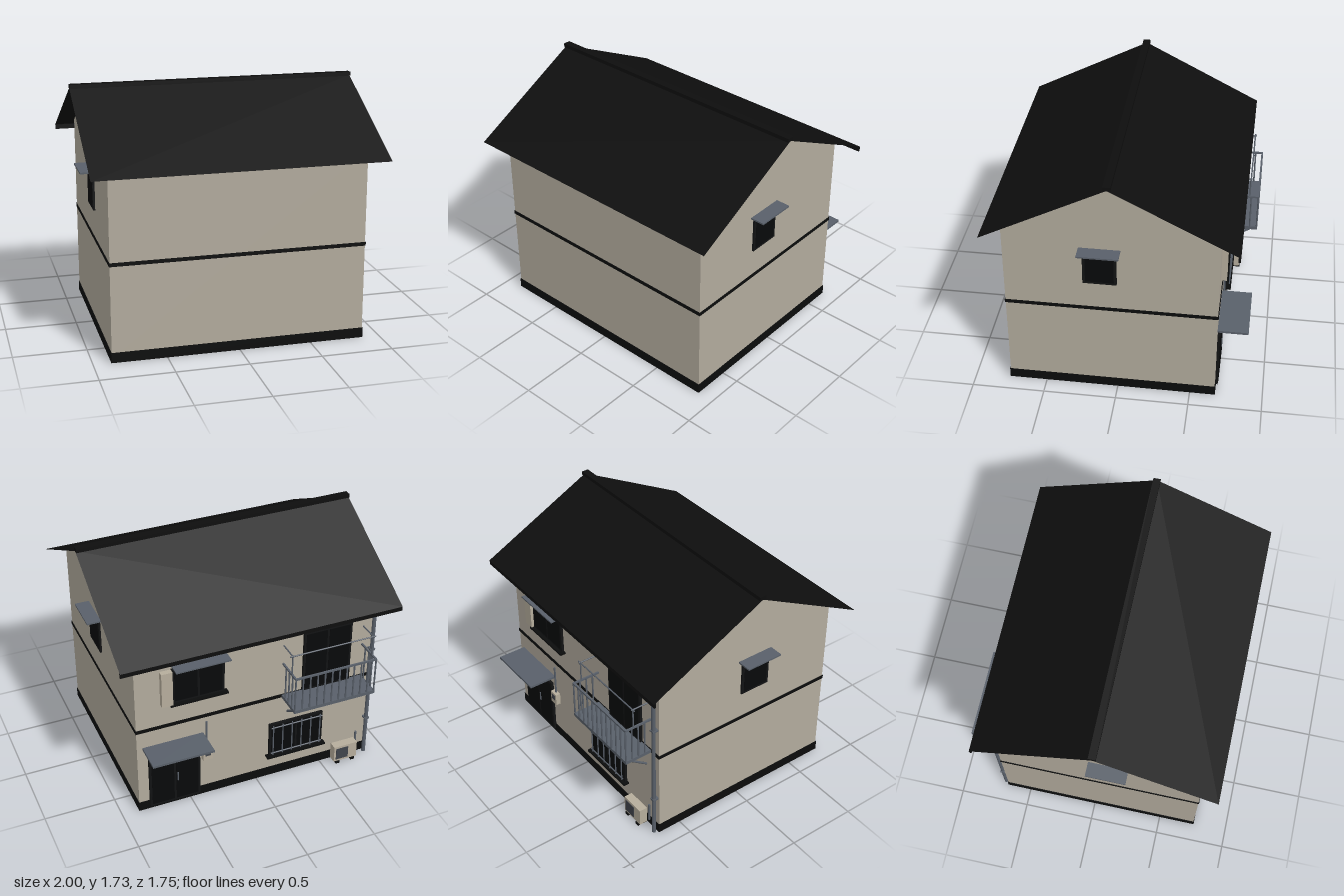
import * as THREE from 'three';

const mat = (name, color, extra = {}) => {
  const m = new THREE.MeshStandardMaterial({ color, ...extra });
  m.name = name;
  return m;
};

export function createModel() {
  const house = new THREE.Group();
  house.name = 'house';
  const wall = mat('plaster', 0xb2ab9d);
  const roofBlack = mat('roofBlack', 0x0e0e0e, { side: THREE.DoubleSide });
  const trim = mat('darkTrim', 0x0b0c0c);
  const frame = mat('windowFrame', 0x121314);
  const glass = mat('darkGlass', 0x08090a);
  const metal = mat('greyMetal', 0x59606a);
  const pale = mat('paleCasing', 0xb6ad9c);
  const fanGrey = mat('fanGrey', 0x40444b);

  const group = (name) => {
    const g = new THREE.Group();
    g.name = name;
    house.add(g);
    return g;
  };
  // Box given by its two extents on every axis
  const box = (name, m, [x0, x1], [y0, y1], [z0, z1], parent = house) => {
    const mesh = new THREE.Mesh(
      new THREE.BoxGeometry(Math.abs(x1 - x0), Math.abs(y1 - y0), Math.abs(z1 - z0)), m);
    mesh.position.set((x0 + x1) / 2, (y0 + y1) / 2, (z0 + z1) / 2);
    mesh.name = name;
    parent.add(mesh);
    return mesh;
  };
  // Straight round bar between two points
  const bar = (name, m, a, b, r, parent = house) => {
    const p = new THREE.Vector3(...a), q = new THREE.Vector3(...b);
    const mesh = new THREE.Mesh(new THREE.CylinderGeometry(r, r, p.distanceTo(q), 8), m);
    mesh.position.copy(p).add(q).multiplyScalar(0.5);
    mesh.quaternion.setFromUnitVectors(new THREE.Vector3(0, 1, 0), q.sub(p).normalize());
    mesh.name = name;
    parent.add(mesh);
    return mesh;
  };

  const W = 0.875, ZF = 0.755, ZB = -0.67, ZR = 0.04;

  // Walls with gables
  const profile = new THREE.Shape([[-ZF, 0.03], [-ZB, 0.03], [-ZB, 1.335], [-ZR, 1.7], [-ZF, 1.335]]
    .map(([x, y]) => new THREE.Vector2(x, y)));
  const wallGeo = new THREE.ExtrudeGeometry(profile, { depth: 2 * W, bevelEnabled: false });
  wallGeo.rotateY(Math.PI / 2).translate(-W, 0, 0);
  const walls = new THREE.Mesh(wallGeo, wall);
  walls.name = 'walls';
  house.add(walls);
  box('foundation', trim, [-W - 0.004, W + 0.004], [0, 0.07], [ZB - 0.005, ZF + 0.005]);
  box('floorBand', trim, [-W - 0.004, W + 0.004], [0.667, 0.692], [ZB - 0.005, ZF + 0.005]);

  // Thin sheet roof, ridge cap and rear gutter
  [['frontRoof', 0.875], ['backRoof', -0.8]].forEach(([name, z]) => {
    const e = 1.275, r = 1.706;
    const geo = new THREE.BufferGeometry();
    geo.setAttribute('position', new THREE.Float32BufferAttribute(
      [-1, e, z, 1, e, z, 1, r, ZR, -1, r, ZR], 3));
    geo.setIndex(z > 0 ? [0, 1, 2, 0, 2, 3] : [0, 2, 1, 0, 3, 2]);
    geo.computeVertexNormals();
    const sheet = new THREE.Mesh(geo, roofBlack);
    sheet.name = name;
    house.add(sheet);
  });
  box('ridgeCap', roofBlack, [-1, 1], [1.703, 1.73], [ZR - 0.025, ZR + 0.025]);
  box('rearGutter', roofBlack, [-1, 1], [1.243, 1.276], [-0.798, -0.784]);

  // Side windows with canopies
  [-1, 1].forEach((s) => {
    const g = group('sideWindow');
    box('frame', frame, [s * W, s * 0.888], [0.893, 1.137], [0, 0.226], g);
    box('glass', glass, [s * 0.88, s * 0.891], [0.91, 1.12], [0.018, 0.208], g);
    box('canopy', metal, [s * W, s * 0.975], [1.158, 1.169], [-0.025, 0.25], g);
  });

  // Rear opening: frame, two panes, and an optional sill
  const opening = (name, [x0, x1], [y0, y1], sill) => {
    const g = group(name), mid = (x0 + x1) / 2, t = 0.016;
    box('frame', frame, [x0, x1], [y0, y1], [ZB, ZB - 0.018], g);
    box('pane', glass, [x0 + t, mid - t / 2], [y0 + t, y1 - t], [ZB - 0.012, ZB - 0.021], g);
    box('pane', glass, [mid + t / 2, x1 - t], [y0 + t, y1 - t], [ZB - 0.012, ZB - 0.021], g);
    if (sill) box('sill', trim, [x0 - 0.02, x1 + 0.02], [y0 - 0.012, y0 + 0.002], [ZB, -0.713], g);
    return g;
  };

  // Upper window with shutter case and canopy
  const upper = opening('upperWindow', [0.25, 0.62], [0.86, 1.13], true);
  box('shutterCase', pale, [0.622, 0.7], [0.86, 1.125], [ZB, -0.708], upper);
  box('canopy', metal, [0.235, 0.62], [1.15, 1.16], [ZB, -0.77], upper);

  // Lower window with grille
  const lower = opening('lowerWindow', [-0.5, -0.09], [0.188, 0.46], true);
  for (let i = 0; i < 6; i++) {
    const x = -0.475 + i * 0.072;
    bar('grilleBar', metal, [x, 0.2, -0.7], [x, 0.45, -0.7], 0.005, lower);
  }
  [0.215, 0.435].forEach((y) => bar('grilleRail', metal, [-0.49, y, -0.7], [-0.1, y, -0.7], 0.005, lower));

  // Entrance
  const door = opening('entranceDoor', [0.43, 0.8], [0.025, 0.46], false);
  box('handle', metal, [0.592, 0.6], [0.2, 0.27], [-0.685, -0.697], door);
  box('canopy', metal, [0.4, 0.835], [0.523, 0.539], [ZB, -0.877], door);

  // Electric meter
  const meter = group('electricMeter');
  box('case', pale, [0.345, 0.415], [0.32, 0.41], [ZB, -0.706], meter);
  box('dial', fanGrey, [0.36, 0.4], [0.355, 0.395], [-0.7, -0.709], meter);
  bar('conduit', metal, [0.38, 0.41, -0.682], [0.38, 0.635, -0.682], 0.007, meter);

  // Balcony with railing, brackets and drying rail
  opening('balconyDoor', [-0.69, -0.33], [0.69, 1.165], false);
  const balcony = group('balcony');
  const L = -0.785, R = -0.185, ZO = -0.87;
  box('deck', metal, [L - 0.005, R + 0.005], [0.665, 0.69], [ZB, -0.875], balcony);
  box('frontRail', metal, [L - 0.005, R + 0.005], [0.94, 0.953], [ZO + 0.007, -0.875], balcony);
  for (let i = 0; i <= 11; i++) {
    const x = L + (R - L) * i / 11;
    bar('baluster', metal, [x, 0.69, ZO], [x, 0.945, ZO], 0.006, balcony);
  }
  [L, R].forEach((x) => {
    box('sideRail', metal, [x - 0.006, x + 0.006], [0.94, 0.953], [ZB, ZO], balcony);
    for (let i = 1; i <= 3; i++) {
      const z = ZO + i * 0.05;
      bar('baluster', metal, [x, 0.69, z], [x, 0.945, z], 0.006, balcony);
    }
    const inX = x === L ? x + 0.04 : x - 0.04;
    bar('bracket', metal, [inX, 0.54, -0.68], [inX, 0.67, -0.86], 0.008, balcony);
    bar('dryingPost', metal, [x, 0.945, -0.808], [x, 1.095, -0.808], 0.005, balcony);
    bar('dryingArm', metal, [x, 1.095, ZB], [x, 1.095, -0.82], 0.005, balcony);
  });
  bar('dryingRod', metal, [L - 0.02, 1.095, -0.81], [R + 0.02, 1.095, -0.81], 0.005, balcony);

  // Downpipe
  const pipe = group('downpipe');
  bar('pipe', metal, [-0.85, 0, -0.697], [-0.85, 1.285, -0.697], 0.014, pipe);
  box('outlet', metal, [-0.864, -0.836], [1.268, 1.292], [-0.685, -0.765], pipe);
  [0.3, 0.9].forEach((y) => box('clip', metal, [-0.868, -0.832], [y, y + 0.012], [ZB, -0.713], pipe));

  // Air conditioner outdoor unit
  const unit = group('airConditioner');
  box('case', pale, [-0.76, -0.58], [0.02, 0.147], [-0.69, -0.75], unit);
  [-0.73, -0.61].forEach((x) => box('foot', trim, [x - 0.015, x + 0.015], [0, 0.02], [-0.68, -0.755], unit));
  box('fanGrille', fanGrey, [-0.69, -0.595], [0.038, 0.13], [-0.745, -0.754], unit);
  bar('pipe', metal, [-0.78, 0.05, -0.685], [-0.78, 0.19, -0.685], 0.008, unit);

  return house;
}
